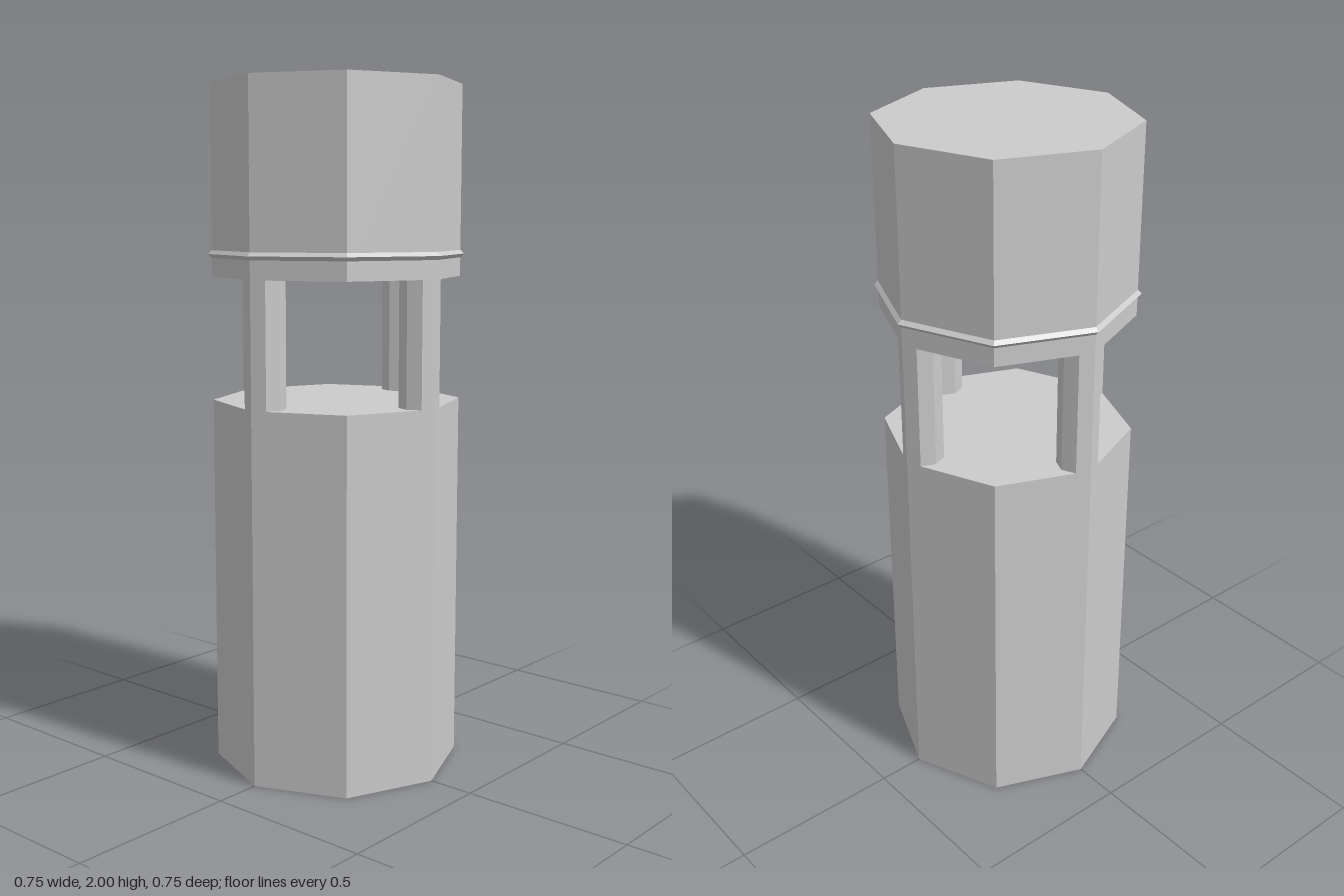
import * as THREE from 'three';

const R = 0.363;          // octagon radius, corners on the x and z axes
const SILL = 1.09, SOFFIT = 1.45, TOP = 2;
const COLUMN_R = 0.058;

export function createModel() {
  const group = new THREE.Group();
  const material = new THREE.MeshStandardMaterial({ color: 0xcccccc, flatShading: true });

  // Upright eight-sided prism between two heights
  function prism(name, radius, y0, y1, x = 0, z = 0, open = false) {
    const geometry = new THREE.CylinderGeometry(radius, radius, y1 - y0, 8, 1, open);
    const mesh = new THREE.Mesh(geometry, material);
    mesh.name = name;
    mesh.position.set(x, (y0 + y1) / 2, z);
    group.add(mesh);
  }

  // Solid blocks below and above the open storey
  prism('towerShaft', R, 0, SILL);
  prism('towerCap', R, SOFFIT, TOP);

  // Four columns, flush with the outer corners
  const d = R - COLUMN_R;
  const places = { front: [0, d], left: [d, 0], back: [0, -d], right: [-d, 0] };
  for (const [side, [x, z]] of Object.entries(places)) {
    prism(side + 'Column', COLUMN_R, SILL, SOFFIT, x, z, true);
  }

  // Thin diamond-section moulding around the cap
  const moulding = new THREE.Mesh(new THREE.TorusGeometry(R, 0.011, 4, 8), material);
  moulding.name = 'moulding';
  moulding.rotation.x = Math.PI / 2;
  moulding.position.y = 1.515;
  group.add(moulding);

  return group;
}
